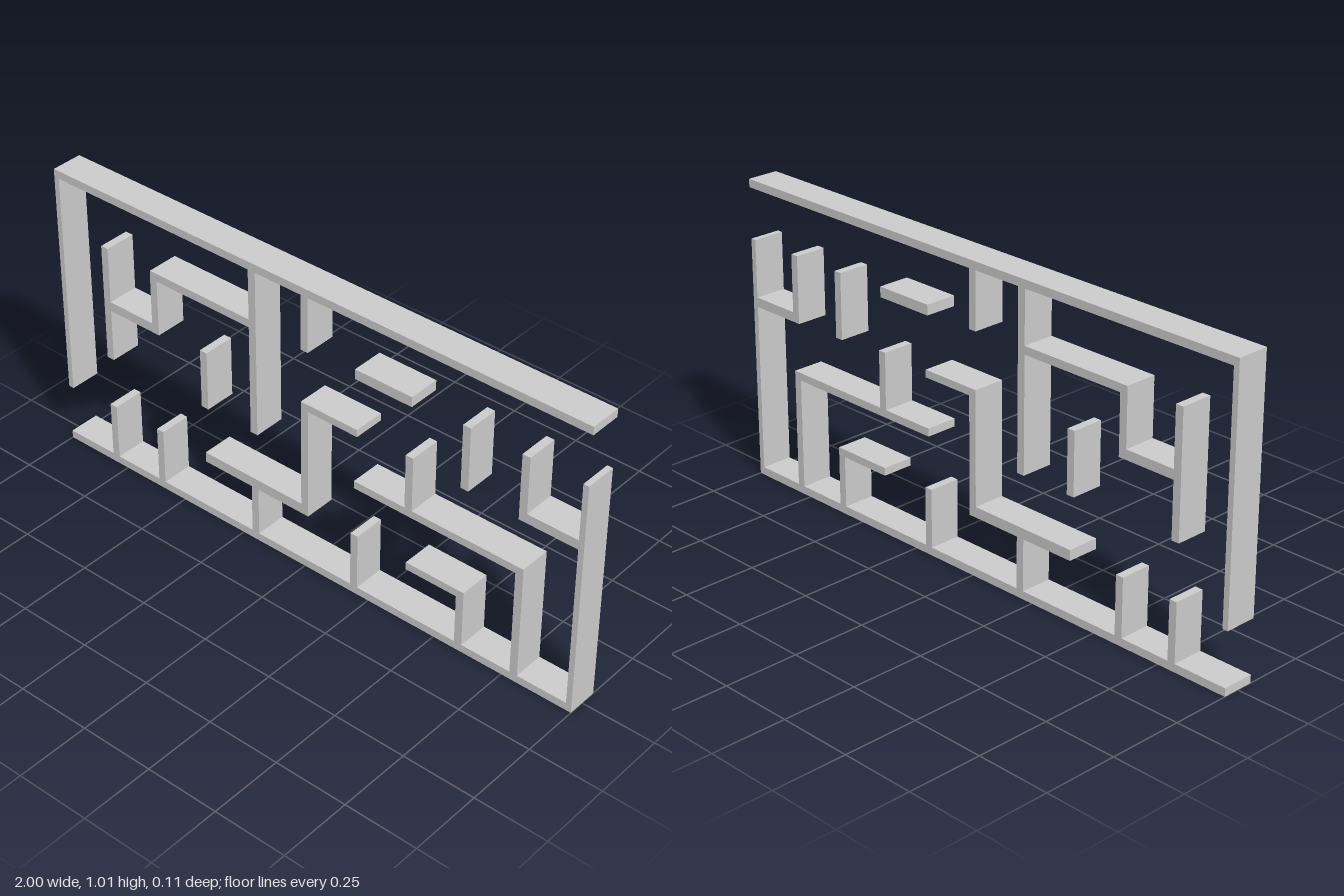
import * as THREE from 'three';

const DEPTH = 0.108;

export function createModel() {
  const maze = new THREE.Group();
  maze.name = 'mazePanel';
  const material = new THREE.MeshStandardMaterial({ color: 0xcccccc, flatShading: true });

  // One straight wall given by its left, right, bottom and top edges
  function wall(name, x0, x1, y0, y1) {
    const mesh = new THREE.Mesh(new THREE.BoxGeometry(x1 - x0, y1 - y0, DEPTH), material);
    mesh.position.set((x0 + x1) / 2, (y0 + y1) / 2, 0);
    mesh.name = name;
    maze.add(mesh);
  }

  // Outer frame, open at two corners
  wall('topWall', -1, 1, 0.983, 1.01);
  wall('bottomWall', -1, 1, 0, 0.027);
  wall('outerWallRight', -1, -0.981, 0.205, 0.983);
  wall('outerWallLeft', 0.981, 1, 0.027, 0.813);

  // Upright inner walls: centre x, bottom, top
  const uprights = [
    [-0.8, 0.404, 0.813], [-0.597, 0.588, 0.783], [-0.4, 0.404, 0.611],
    [-0.2, 0.404, 0.983], [0, 0.795, 0.983], [0.59, 0.594, 0.813],
    [0.793, 0.588, 0.813], [0, 0.233, 0.586], [0.393, 0.422, 0.611],
    [0.793, 0.027, 0.396], [0.59, 0.027, 0.198], [0.193, 0.027, 0.222],
    [-0.2, 0.027, 0.198], [-0.597, 0.027, 0.222], [-0.8, 0.027, 0.222],
  ];
  for (const [x, y0, y1] of uprights) wall('uprightWall', x - 0.0135, x + 0.0135, y0, y1);

  // Level inner walls: left, right, bottom, top
  const levels = [
    [-0.787, -0.59, 0.588, 0.62], [-0.61, -0.213, 0.783, 0.81],
    [0.19, 0.396, 0.786, 0.82], [0.806, 0.982, 0.588, 0.62],
    [-0.0135, 0.2, 0.586, 0.611], [-0.403, 0.0135, 0.198, 0.233],
    [0.19, 0.8065, 0.396, 0.422], [0.39, 0.6035, 0.198, 0.224],
  ];
  for (const edges of levels) wall('levelWall', ...edges);

  return maze;
}
